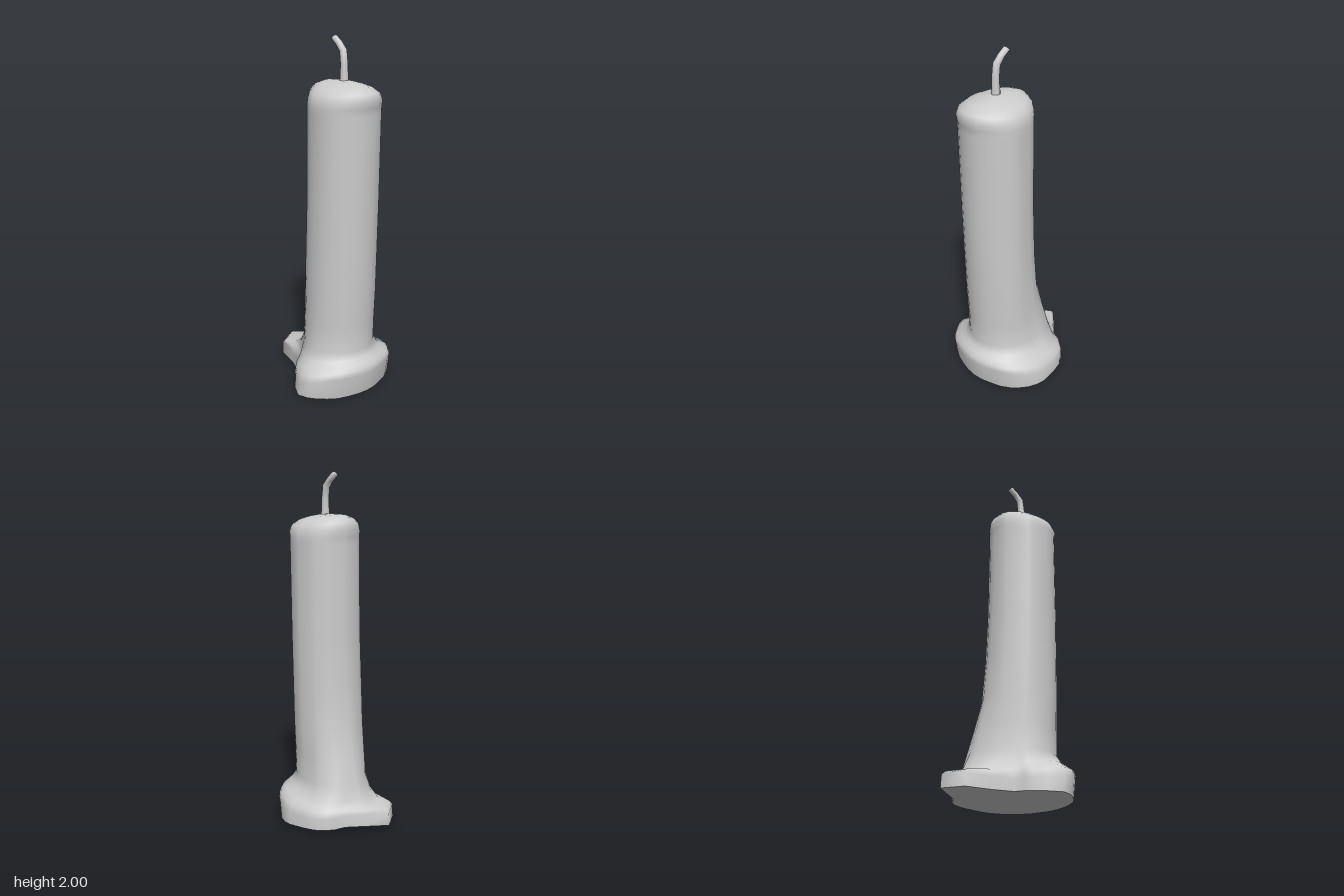
import * as THREE from 'three';

// Skin a stack of rings (arrays of [x, y, z]) from bottom to top, closed with a tip point.
function loft(rings, tip) {
  const n = rings[0].length;
  const positions = [...rings.flat(2), ...tip];
  const index = [];
  for (let i = 0; i < rings.length - 1; i++) {
    for (let j = 0; j < n; j++) {
      const k = (j + 1) % n;
      const a = i * n + j, b = i * n + k, c = a + n, d = b + n;
      index.push(a, c, b, b, c, d);
    }
  }
  const start = (rings.length - 1) * n, t = rings.length * n;
  for (let j = 0; j < n; j++) index.push(start + j, t, start + (j + 1) % n);
  const geometry = new THREE.BufferGeometry();
  geometry.setAttribute('position', new THREE.Float32BufferAttribute(positions, 3));
  geometry.setIndex(index);
  geometry.computeVertexNormals();
  return geometry;
}

// Outline of the melted wax pool, with the drip spout at -x: [x, z]
const pool = [
  [0.372, 0], [0.366, 0.06], [0.35, 0.125], [0.325, 0.192], [0.287, 0.245], [0.243, 0.29], [0.2, 0.322],
  [0.14, 0.345], [0.06, 0.308], [0, 0.264], [-0.03, 0.233], [-0.06, 0.185], [-0.17, 0.145], [-0.3, 0.12],
  [-0.373, 0], [-0.285, -0.09], [-0.197, -0.18], [-0.18, -0.235], [-0.145, -0.282], [-0.09, -0.317],
  [-0.03, -0.333], [0.085, -0.348], [0.14, -0.34], [0.2, -0.315], [0.25, -0.28], [0.285, -0.245],
  [0.322, -0.19], [0.35, -0.115], [0.366, -0.06],
];
const foot = pool.map(([x, z]) => [x > 0 ? x * 0.92 : x, 0.02 - 0.045 * x, z]);

// Candle shaft and rounded top:
// [height, centre x, radius x, radius z, dip at front and back, bulge at the sides, lean of the flare]
const shaft = [
  [0.25, 0.065, 0.232, 0.217, 0, 0, 0.035], [0.4, 0.083, 0.219, 0.211, 0, 0, 0.02],
  [0.57, 0.1025, 0.2075, 0.207, 0, 0, 0.005], [0.8, 0.113, 0.203, 0.204, 0, 0, 0],
  [1.1, 0.123, 0.2, 0.202, 0, 0, 0], [1.6, 0.13, 0.2, 0.201, 0, 0, 0],
  [1.64, 0.13, 0.2, 0.201, 0.005, 0.003, 0], [1.68, 0.133, 0.199, 0.198, 0.012, 0.013, 0],
  [1.72, 0.13, 0.19, 0.184, 0.018, 0.014, 0], [1.75, 0.118, 0.155, 0.15, 0.018, 0.01, 0],
  [1.765, 0.105, 0.105, 0.1, 0.012, 0, 0], [1.769, 0.105, 0.045, 0.045, 0.003, 0, 0],
];

function candleGeometry() {
  const angle = ([x, z]) => Math.atan2(z, x - 0.07);
  // The flare on the spout side leans towards the back
  const skew = (a) => (Math.cos(a) < 0 ? Math.sin(2 * a) : 0);
  const rim = pool.map(([x, z]) => [
    0.99 * x, 0.085 + (x > 0 ? 0.05 : 0.022) * Math.min(1, (x / 0.3) ** 2), 0.99 * z,
  ]);
  // Shoulder rings spread from the round shaft towards the pool outline, by at most reach
  const shoulder = (t, reach, y, riseLeft, riseRight) => pool.map((p) => {
    const a = angle(p), lean = 0.035 * skew(a);
    const x = 0.06 + (0.235 + lean) * Math.cos(a), z = (0.218 + lean) * Math.sin(a);
    const s = Math.min(t, reach / Math.hypot(p[0] - x, p[1] - z));
    return [
      THREE.MathUtils.lerp(x, p[0], s),
      y + (p[0] > 0 ? riseRight : riseLeft) * p[0] / 0.37,
      THREE.MathUtils.lerp(z, p[1], s),
    ];
  });
  const round = shaft.map(([y, cx, rx, rz, dip, bulge, lean]) => pool.map((p) => {
    const a = angle(p), c = Math.cos(a), s = Math.sin(a), r = lean * skew(a);
    return [cx + (rx + r) * c + bulge * c ** 3, y - dip * (s * s + 0.4 * Math.max(0, c)), (rz + r) * s];
  }));
  const rings = [
    foot, rim,
    shoulder(0.86, 1, 0.12, -0.005, 0.05),
    shoulder(0.6, 0.08, 0.145, 0.02, 0.045),
    shoulder(0.3, 0.03, 0.18, 0.02, 0.035),
    ...round,
  ];
  return loft(rings, [0.11, 1.769, 0]);
}

// Bent wick: [x, y, lean from vertical, radius]
function wickGeometry() {
  const path = [
    [0.128, 1.74, 0, 0.027], [0.126, 1.79, 0, 0.023], [0.127, 1.85, 0.05, 0.021],
    [0.118, 1.921, 0.4, 0.021], [0.086, 1.957, 0.75, 0.019], [0.047, 1.987, 0.75, 0.018],
  ];
  const rings = path.map(([x, y, lean, r]) => Array.from({ length: 10 }, (_, j) => {
    const a = j / 10 * Math.PI * 2;
    const u = r * Math.cos(a);
    return [x + u * Math.cos(lean), y + u * Math.sin(lean), r * Math.sin(a)];
  }));
  return loft(rings, [0.045, 1.989, 0]);
}

export function createModel() {
  const group = new THREE.Group();
  group.name = 'candle';
  const material = new THREE.MeshStandardMaterial({ color: 0xcccccc });
  const add = (name, geometry) => {
    const mesh = new THREE.Mesh(geometry, material);
    mesh.name = name;
    group.add(mesh);
  };
  add('waxBody', candleGeometry());
  // Underside, facing down
  add('underside', loft([[...foot].reverse()], [0.03, 0.019, 0]));
  add('wick', wickGeometry());
  return group;
}
